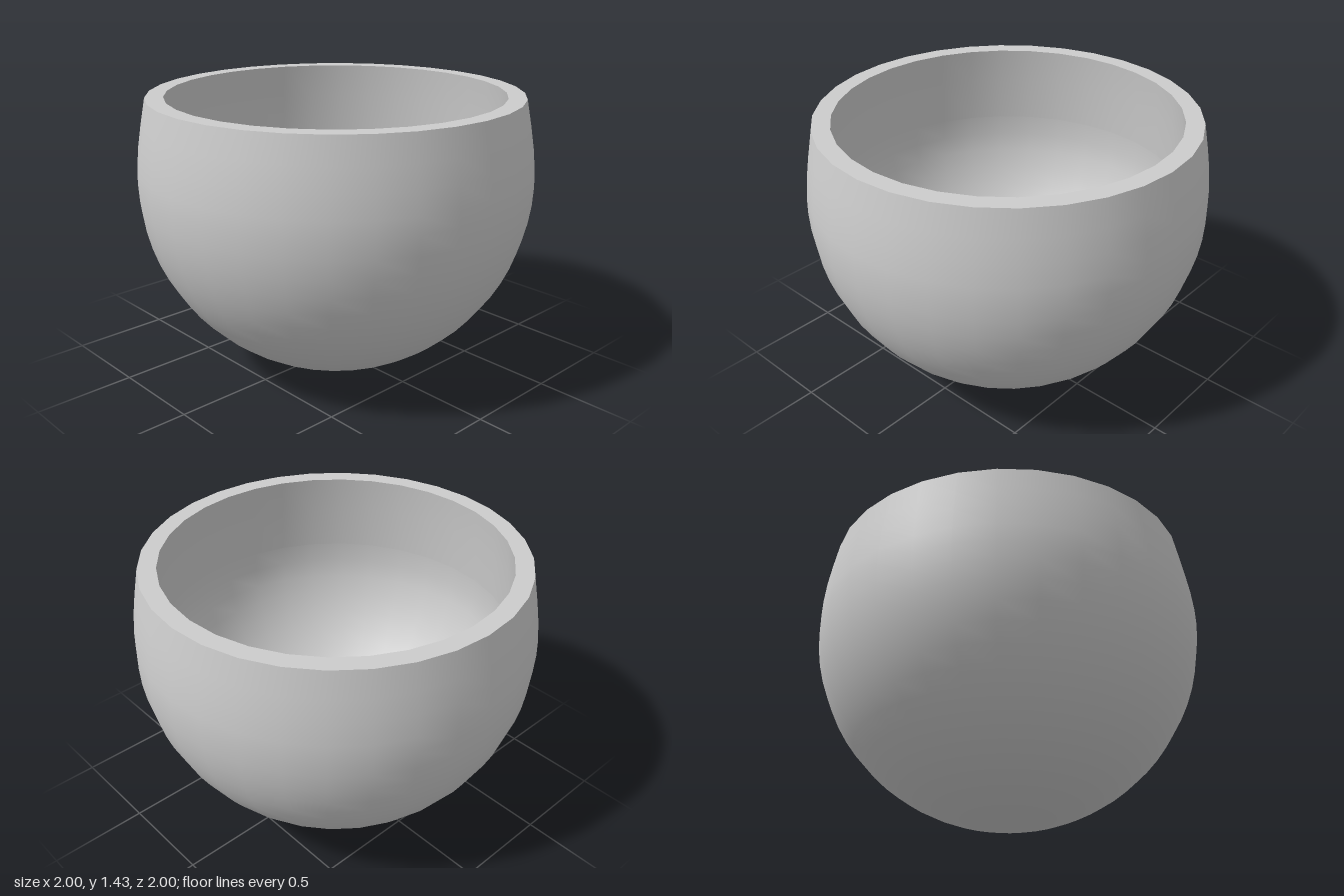
import * as THREE from 'three';

const SIDES = 32;

export function createModel() {
  const group = new THREE.Group();
  group.name = 'bowl';
  const material = new THREE.MeshStandardMaterial({ color: 0xcccccc });

  // Each surface is its own lathe, so the edges between them stay sharp
  const addLathe = (name, points) => {
    const profile = points.map(([r, y]) => new THREE.Vector2(r, y));
    const mesh = new THREE.Mesh(new THREE.LatheGeometry(profile, SIDES), material);
    mesh.name = name;
    group.add(mesh);
  };

  // Quarter circle from the bottom pole up to the equator at y = 1
  const arc = (radius, from, steps) => {
    const points = [];
    for (let i = 0; i <= steps; i++) {
      const a = from + (Math.PI / 2 - from) * (i / steps);
      points.push([radius * Math.sin(a), 1 - radius * Math.cos(a)]);
    }
    return points;
  };

  // Round outside with a small flat foot, drawing in towards the rim
  addLathe('outerShell', [
    [0, 0], [0.13, 0.003], ...arc(1, 0.24, 14),
    [0.997, 1.08], [0.985, 1.19], [0.966, 1.3], [0.94, 1.43],
  ]);

  // Flat rim
  addLathe('rim', [[0.94, 1.43], [0.85, 1.43]]);

  // Inner wall, widening slightly downwards
  addLathe('innerWall', [[0.85, 1.43], [0.873, 1.25], [0.89, 1.01]]);

  // Rounded hollow below the wall
  addLathe('innerHollow', [[0.89, 1.01], ...arc(0.9, 0, 14).reverse().slice(1)]);

  return group;
}
